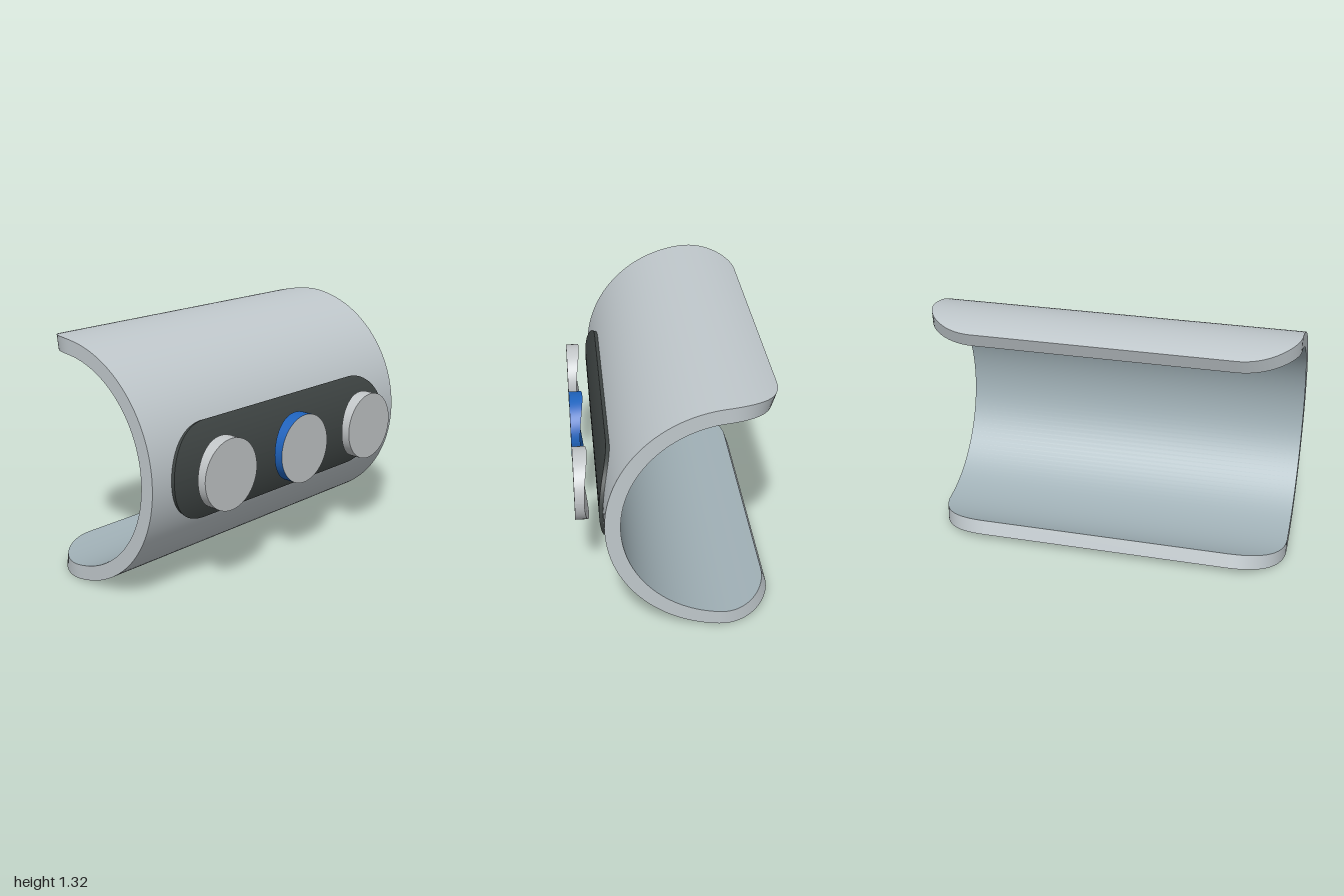
import * as THREE from 'three';

const CY = 0.66, CZ = -0.29; // axis of the curved shell, parallel to x

const paint = (name, color) => {
  const m = new THREE.MeshStandardMaterial({ color });
  m.name = name;
  return m;
};

// Surface between two matching rows of points
function strip(a, b) {
  const pos = [], idx = [];
  a.forEach((p, i) => {
    pos.push(...p, ...b[i]);
    if (i) {
      const k = 2 * i;
      idx.push(k - 2, k - 1, k + 1, k - 2, k + 1, k);
    }
  });
  const g = new THREE.BufferGeometry();
  g.setAttribute('position', new THREE.Float32BufferAttribute(pos, 3));
  g.setIndex(idx);
  g.computeVertexNormals();
  return g;
}

function addMesh(group, name, geometry, material) {
  const m = new THREE.Mesh(geometry, material);
  m.name = name;
  group.add(m);
  return m;
}

// Rounded rectangle wrapped around the shell axis, with thickness
function curvedPanel(name, o) {
  const rows = [], start = o.angle - o.cornerAngle;
  const corner = [];
  for (let i = 0; i <= 16; i++) {
    const t = (i / 16) * Math.PI / 2;
    corner.push([start + o.cornerAngle * Math.sin(t), o.halfWidth - o.corner * (1 - Math.cos(t))]);
  }
  for (const [t, w] of [...corner].reverse()) rows.push([-t, w]);
  if (start > 0.01) for (let i = 1; i < 64; i++) rows.push([start * (i / 32 - 1), o.halfWidth]);
  rows.push(...corner);

  const side = (s, r) => rows.map(([t, w]) => [s * w, CY + r * Math.sin(t), CZ + r * Math.cos(t)]);
  const loop = (r) => {
    const p = [...side(1, r), ...side(-1, r).reverse()];
    return [...p, p[0]];
  };
  const g = new THREE.Group();
  g.name = name;
  addMesh(g, name + 'Outside', strip(side(-1, o.outer), side(1, o.outer)), o.outMat);
  addMesh(g, name + 'Inside', strip(side(1, o.inner), side(-1, o.inner)), o.inMat);
  addMesh(g, name + 'Rim', strip(loop(o.outer), loop(o.inner)), o.rimMat);
  return g;
}

// Round button with a flat face and a back hollowed to follow the shell
function button(name, x, bodyMat, faceMat) {
  const R = 0.192, front = 0.51, backR = 0.75;
  const back = (y) => CZ + Math.sqrt(backR * backR - y * y);
  const ring = (f) => Array.from({ length: 65 }, (_, i) => {
    const t = (i / 64) * Math.PI * 2, y = R * Math.sin(t);
    return [R * Math.cos(t), y, f(y)];
  });
  const chord = (s) => Array.from({ length: 33 }, (_, i) => {
    const t = (i / 32 - 0.5) * Math.PI, y = R * Math.sin(t);
    return [s * R * Math.cos(t), y, back(y)];
  });
  const g = new THREE.Group();
  g.name = name;
  addMesh(g, name + 'Side', strip(ring(() => front), ring(back)), bodyMat);
  addMesh(g, name + 'Back', strip(chord(1), chord(-1)), bodyMat);
  addMesh(g, name + 'Face', new THREE.CircleGeometry(R, 64), faceMat).position.z = front;
  g.position.set(x, CY + 0.003, 0);
  return g;
}

export function createModel() {
  const silver = paint('silver', 0xc0c8cc);
  const lining = paint('blue grey lining', 0xa0b0b6);
  const dark = paint('dark grey', 0x414746);
  const grey = paint('button grey', 0xc2c6c8);
  const blue = paint('blue', 0x1f63bd);

  const model = new THREE.Group();
  model.name = 'cuff';

  // Open cuff with rounded rear corners
  model.add(curvedPanel('shell', {
    outer: 0.66, inner: 0.58, halfWidth: 1, corner: 0.3,
    angle: THREE.MathUtils.degToRad(110), cornerAngle: 0.3 / 0.66,
    outMat: silver, inMat: lining, rimMat: silver,
  }));

  // Stadium-shaped control plate on the front
  const plateAngle = Math.asin(0.265 / 0.68);
  model.add(curvedPanel('controlPlate', {
    outer: 0.68, inner: 0.658, halfWidth: 0.87, corner: 0.27,
    angle: plateAngle, cornerAngle: plateAngle,
    outMat: dark, inMat: dark, rimMat: dark,
  }));

  // Three floating buttons, the middle one with a blue body
  model.add(button('rightButton', -0.582, grey, grey));
  model.add(button('middleButton', 0, blue, grey));
  model.add(button('leftButton', 0.582, grey, grey));
  return model;
}
